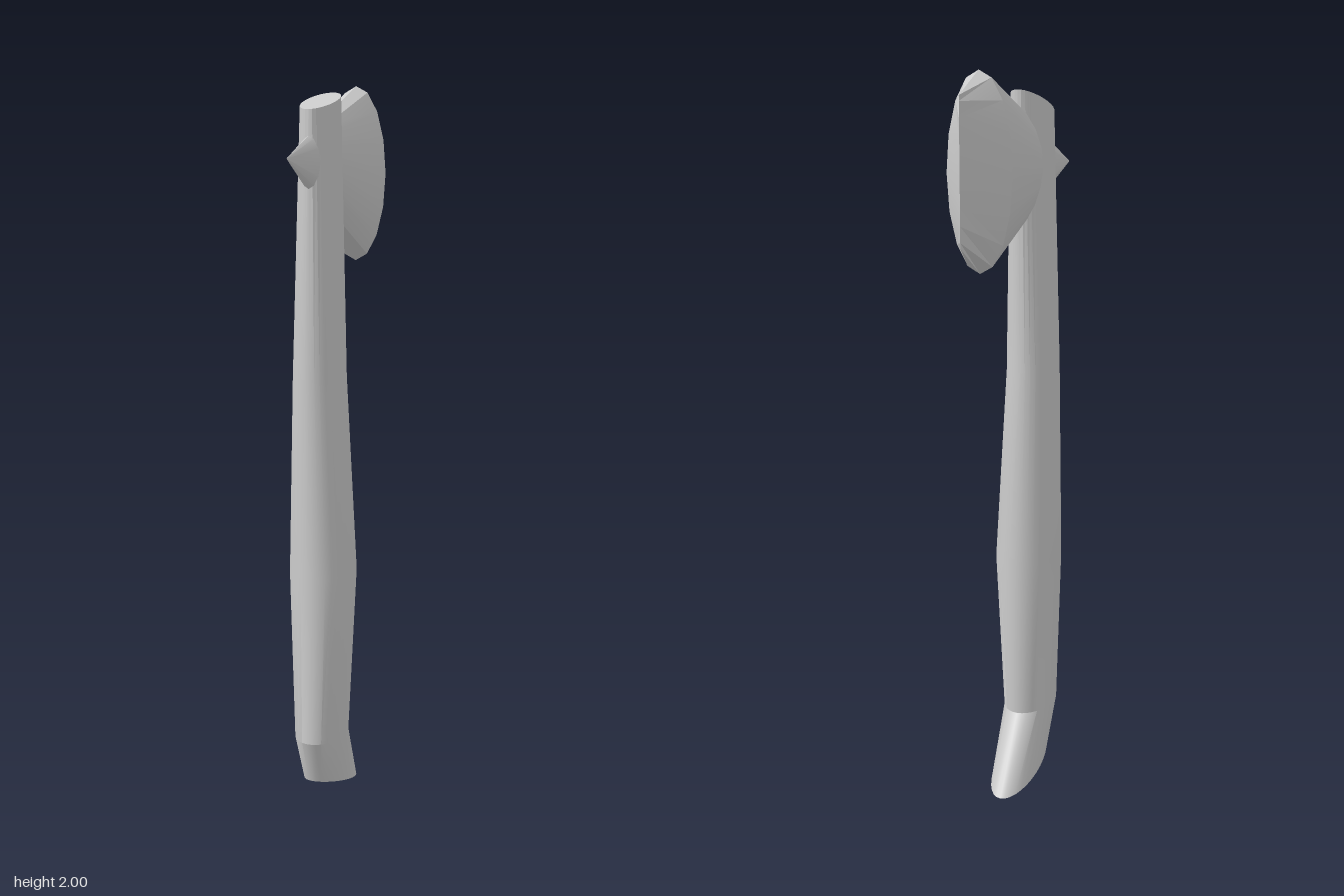
import * as THREE from 'three';
import { toCreasedNormals } from 'three/addons/utils/BufferGeometryUtils.js';

const material = new THREE.MeshStandardMaterial({ color: 0xcccccc });

// Skin elliptical rings. Each ring runs from point a to point b ([y, z]) with half width w in x.
function loft(name, rings, sides, crease) {
  const loops = rings.map(({ a, b, w }) =>
    Array.from({ length: sides }, (_, j) => {
      const t = (j / sides) * Math.PI * 2;
      const s = Math.sin(t) / 2;
      return new THREE.Vector3(
        w * Math.cos(t),
        (a[0] + b[0]) / 2 + (b[0] - a[0]) * s,
        (a[1] + b[1]) / 2 + (b[1] - a[1]) * s
      );
    })
  );
  const points = [];
  const tri = (...p) => {
    if (new THREE.Triangle(...p).getArea() > 1e-7) points.push(...p);
  };
  const centre = ({ a, b }) => new THREE.Vector3(0, (a[0] + b[0]) / 2, (a[1] + b[1]) / 2);
  const first = loops[0], last = loops[loops.length - 1];
  for (let j = 0; j < sides; j++) {
    const k = (j + 1) % sides;
    for (let i = 0; i + 1 < loops.length; i++) {
      const p = loops[i], q = loops[i + 1];
      tri(p[j], q[j], p[k]);
      tri(p[k], q[j], q[k]);
    }
    // End caps (flat ends only; pointed ends collapse away)
    tri(centre(rings[0]), first[j], first[k]);
    tri(centre(rings[rings.length - 1]), last[k], last[j]);
  }
  const geometry = new THREE.BufferGeometry().setFromPoints(points);
  const mesh = new THREE.Mesh(toCreasedNormals(geometry, crease), material);
  mesh.name = name;
  return mesh;
}

export function createModel() {
  const group = new THREE.Group();
  group.name = 'axe';

  // Handle: swollen grip, kicked-back slanted foot and slanted top
  group.add(loft('handle', [
    { a: [0, -0.16], b: [0.08, 0.15], w: 0.065 },
    { a: [0.205, -0.025], b: [0.205, 0.205], w: 0.07 },
    { a: [0.66, -0.045], b: [0.66, 0.19], w: 0.09 },
    { a: [1.2, 0], b: [1.2, 0.215], w: 0.069 },
    { a: [1.955, -0.02], b: [1.89, 0.215], w: 0.046 },
  ], 32, 0.4));

  // Blade: flares backwards, then pinches to a vertical cutting edge
  group.add(loft('blade', [
    { a: [1.645, 0.1], b: [1.868, 0.1], w: 0.041 },
    { a: [1.505, -0.285], b: [2, -0.285], w: 0.088 },
    { a: [1.58, -0.41], b: [1.94, -0.41], w: 0 },
  ], 16, 0.4));

  // Spike on the front of the head
  group.add(loft('spike', [
    { a: [1.755, 0.41], b: [1.755, 0.41], w: 0 },
    { a: [1.675, 0.17], b: [1.84, 0.17], w: 0.03 },
  ], 12, 0.6));

  return group;
}
